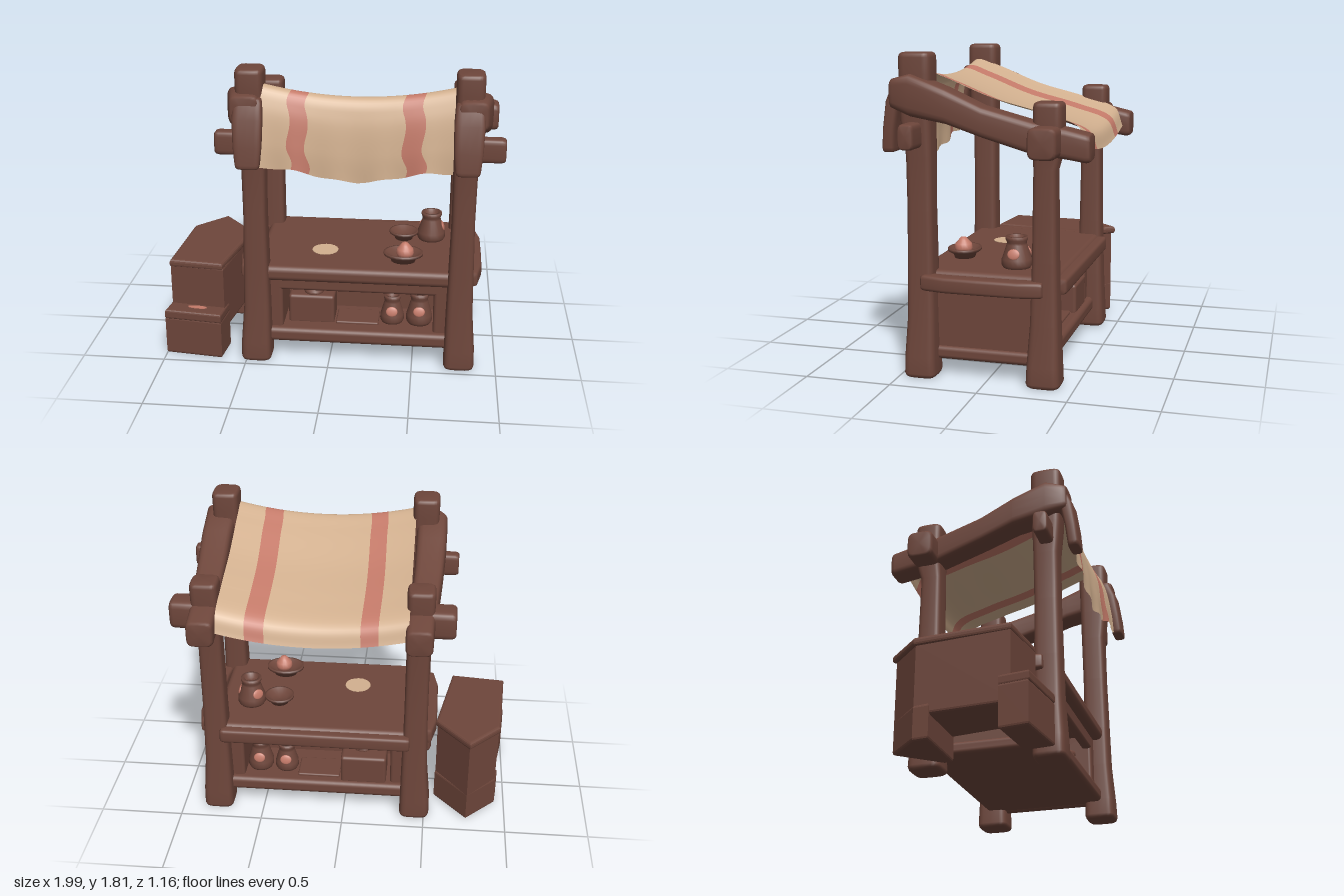
import * as THREE from 'three';
import { RoundedBoxGeometry } from 'three/addons/geometries/RoundedBoxGeometry.js';

const wood = new THREE.MeshStandardMaterial({ color: 0x6e463b });
const cloth = new THREE.MeshStandardMaterial({ color: 0xd2b08f, side: THREE.DoubleSide });
const rose = new THREE.MeshStandardMaterial({ color: 0xc47a69, side: THREE.DoubleSide });
wood.name = 'brown wood'; cloth.name = 'tan cloth'; rose.name = 'dusty rose';

// Soft square beam lofted through sections [t, p, q, halfP, halfQ]; axis is the direction of t.
const axes = {
  x: (t, p, q) => [t, p, q],
  y: (t, p, q) => [q, t, p],
  z: (t, p, q) => [p, q, t],
};
function beamGeometry(axis, sections, sides = 24) {
  const place = axes[axis], pos = [], idx = [];
  const first = sections[0], last = sections[sections.length - 1];
  const end = (s, dt, k) => [s[0] + dt, s[1], s[2], s[3] * k, s[4] * k];
  const rings = [end(first, 0, 0.001), end(first, 0, 0.82), end(first, 0.008, 0.94), end(first, 0.025, 1),
    ...sections.slice(1, -1), end(last, -0.025, 1), end(last, -0.008, 0.94), end(last, 0, 0.82), end(last, 0, 0.001)];
  const soft = (v) => Math.sign(v) * Math.pow(Math.abs(v), 0.45);
  for (const [t, p, q, a, b] of rings) {
    for (let j = 0; j < sides; j++) {
      const ang = (j / sides) * Math.PI * 2;
      pos.push(...place(t, p + a * soft(Math.cos(ang)), q + b * soft(Math.sin(ang))));
    }
  }
  for (let i = 0; i < rings.length - 1; i++) {
    for (let j = 0; j < sides; j++) {
      const k = (j + 1) % sides, a = i * sides, b = a + sides;
      idx.push(a + j, a + k, b + k, a + j, b + k, b + j);
    }
  }
  const g = new THREE.BufferGeometry();
  g.setAttribute('position', new THREE.Float32BufferAttribute(pos, 3));
  g.setIndex(idx);
  g.computeVertexNormals();
  return g;
}

// Canopy profile from back edge, over the top, down the front flap
const profile = new THREE.CatmullRomCurve3([
  [-0.535, 1.32], [-0.49, 1.42], [-0.28, 1.495], [0, 1.57], [0.28, 1.68], [0.42, 1.72],
  [0.48, 1.62], [0.52, 1.42], [0.535, 1.27],
].map(([z, y]) => new THREE.Vector3(0, y, z)));

function clothStrip(x0, x1, wobble0, wobble1) {
  const nu = 14, nv = 60, pos = [], idx = [];
  for (let i = 0; i <= nv; i++) {
    const v = i / nv, c = profile.getPoint(v);
    const wave = 0.017 * Math.sin(v * 34) * Math.max(0, v - 0.45) * 2 + 0.004 * Math.sin(v * 15);
    for (let j = 0; j <= nu; j++) {
      const u = j / nu;
      const x = x0 + (x1 - x0) * u + wave * (wobble0 * (1 - u) + wobble1 * u);
      const s = (x - 0.16) / 0.54, mid = 1 - s * s;
      const flap = Math.max(0, (v - 0.7) / 0.3);
      const sag = 0.065 * mid * (1 - flap) + 0.075 * mid ** 3 * flap;
      const ripple = flap * flap * 0.008 * Math.sin(x * 26);
      pos.push(x, c.y - sag + ripple, c.z - 0.025 * mid * flap + ripple);
    }
  }
  for (let i = 0; i < nv; i++) {
    for (let j = 0; j < nu; j++) {
      const a = i * (nu + 1) + j, b = a + nu + 1;
      idx.push(a, b, b + 1, a, b + 1, a + 1);
    }
  }
  const g = new THREE.BufferGeometry();
  g.setAttribute('position', new THREE.Float32BufferAttribute(pos, 3));
  g.setIndex(idx);
  g.computeVertexNormals();
  return g;
}

export function createModel() {
  const model = new THREE.Group();
  model.name = 'marketStall';
  const add = (name, geo, mat = wood, x = 0, y = 0, z = 0, parent = model) => {
    const m = new THREE.Mesh(geo, mat);
    m.name = name;
    m.position.set(x, y, z);
    parent.add(m);
    return m;
  };
  // Rounded box given by its limits
  const block = (name, x0, x1, y0, y1, z0, z1, r = 0.02) =>
    add(name, new RoundedBoxGeometry(x1 - x0, y1 - y0, z1 - z0, 3, r), wood, (x0 + x1) / 2, (y0 + y1) / 2, (z0 + z1) / 2);

  // Frame, one side at a time
  for (const [side, x, out] of [['right', -0.44, -1], ['left', 0.78, 1]]) {
    const inner = x - out * 0.008;
    add(side + 'FrontPost', beamGeometry('y', [
      [0, 0.38, x, 0.093, 0.092], [0.12, 0.38, x, 0.09, 0.09], [0.35, 0.375, inner, 0.08, 0.079], [0.6, 0.375, inner, 0.077, 0.074],
      [0.95, 0.375, inner, 0.073, 0.067], [1.25, 0.375, inner, 0.075, 0.07], [1.45, 0.385, x, 0.088, 0.078],
      [1.7, 0.387, x, 0.093, 0.079], [1.81, 0.387, x, 0.093, 0.08]]));
    add(side + 'BackPost', beamGeometry('y', [
      [0, -0.327, x, 0.097, 0.092], [0.12, -0.327, x, 0.093, 0.09], [0.35, -0.33, inner, 0.08, 0.078], [0.7, -0.33, inner, 0.07, 0.07],
      [1.2, -0.33, inner, 0.063, 0.068], [1.3, -0.345, x, 0.078, 0.078], [1.45, -0.348, x, 0.08, 0.079], [1.56, -0.348, x, 0.08, 0.08]]));
    add(side + 'RoofRail', beamGeometry('z', [
      [-0.58, x, 1.325, 0.078, 0.078], [-0.45, x, 1.345, 0.08, 0.082], [-0.28, x + out * 0.015, 1.37, 0.08, 0.088],
      [0, x + out * 0.03, 1.45, 0.085, 0.083], [0.2, x + out * 0.037, 1.53, 0.09, 0.095],
      [0.4, x + out * 0.037, 1.585, 0.093, 0.115], [0.52, x + out * 0.02, 1.59, 0.085, 0.085]]));
    add(side + 'HangingBoard', beamGeometry('y', [
      [1.27, 0.545, x, 0.035, 0.07], [1.4, 0.535, x, 0.036, 0.08], [1.55, 0.51, x, 0.04, 0.085], [1.66, 0.475, x, 0.04, 0.08]]));
    // Cross beam ends
    const stub = (name, length, y, z, hy, hz) => {
      const ends = [x, x + out * length].sort((a, b) => a - b);
      const mid = (ends[0] + ends[1]) / 2;
      add(name, beamGeometry('x', [ends[0], mid, ends[1]].map((t) => [t, y, z, hy, hz])));
    };
    stub(side + 'BackBeamEnd', 0.2, 1.357, -0.35, 0.085, 0.08);
    stub(side + 'FrontBeamEnd', 0.21, 1.37, 0.388, 0.07, 0.044);
    // Rounded bar along the counter's side, bowed outward
    add(side + 'CounterSideBar', beamGeometry('z', [
      [-0.33, x + out * 0.05, 0.553, 0.045, 0.045], [-0.2, x + out * 0.068, 0.553, 0.05, 0.045], [0.03, x + out * 0.07, 0.553, 0.05, 0.045],
      [0.22, x + out * 0.068, 0.553, 0.05, 0.045], [0.36, x + out * 0.05, 0.553, 0.045, 0.045]]));
  }

  // Canopy with two stripes
  const edges = [-0.38, -0.215, -0.115, 0.425, 0.535, 0.7];
  for (let i = 0; i < 5; i++) {
    add(i % 2 ? 'canopyStripe' : 'canopyCloth',
      clothStrip(edges[i], edges[i + 1], i === 0 ? 0 : 1, i === 4 ? 0 : 1), i % 2 ? rose : cloth);
  }

  // Counter and the open cabinet below, divided front from back
  block('counterTop', -0.45, 0.79, 0.515, 0.61, -0.39, 0.42, 0.035);
  add('counterBackBar', beamGeometry('x', [-0.4, 0.17, 0.74].map((t) => [t, 0.55, -0.39, 0.045, 0.048])));
  block('cabinetFloor', -0.42, 0.76, 0.105, 0.195, -0.36, 0.4, 0.03);
  block('cabinetDivider', -0.4, 0.74, 0.15, 0.56, -0.02, 0.06);
  block('rightSidePanel', -0.43, -0.285, 0.12, 0.56, -0.32, 0.36);
  block('leftSidePanel', 0.62, 0.76, 0.12, 0.56, -0.32, 0.36);
  for (const z of [-0.32, 0.3]) block('cabinetTopRail', -0.4, 0.74, 0.435, 0.56, z, z + 0.06);
  for (const x of [-0.44, 0.72]) block('sideLowerRail', x, x + 0.06, 0.095, 0.17, -0.3, 0.34, 0.025);

  // Pottery
  const jug = (name, x, y, z, r, h, patchAngles) => {
    const g = new THREE.Group();
    g.name = name;
    g.position.set(x, y, z);
    model.add(g);
    const pts = [[0, 0], [0.85, 0], [1, 0.12], [0.98, 0.3], [0.66, 0.75], [0.64, 0.82], [0.72, 0.9], [0.72, 1], [0.5, 1], [0.42, 0.85], [0, 0.85]];
    add('jugBody', new THREE.LatheGeometry(pts.map(([a, b]) => new THREE.Vector2(a * r, b * h)), 20), wood, 0, 0, 0, g);
    for (const a of patchAngles) {
      const p = add('jugPatch', new THREE.SphereGeometry(0.036, 14, 10), rose, Math.sin(a) * r * 0.82, h * 0.5, Math.cos(a) * r * 0.82, g);
      p.scale.set(1, 0.85, 0.25);
      p.rotation.set(-0.28, a, 0, 'YXZ');
    }
  };
  const dish = (name, x, z, r, h) => add(name, new THREE.LatheGeometry(
    [[0, 0], [0.6, 0], [0.68, 0.4], [1, 0.75], [1, 1], [0.88, 1], [0.5, 0.5], [0, 0.45]].map(([a, b]) => new THREE.Vector2(a * r, b * h)), 20),
  wood, x, 0.608, z);
  jug('counterJug', 0.59, 0.605, -0.115, 0.087, 0.182, [Math.PI / 2, -2.4]);
  dish('plate', 0.43, 0.245, 0.118, 0.06).scale.z = 0.82;
  dish('bowl', 0.42, -0.1, 0.09, 0.055);
  // Rounded fruit with a blunt tip
  add('fruit', new THREE.LatheGeometry([[0, 0], [0.045, 0], [0.053, 0.025], [0.048, 0.05], [0.028, 0.072], [0.018, 0.085], [0, 0.09]]
    .map(([r, y]) => new THREE.Vector2(r, y)), 18), rose, 0.44, 0.642, 0.25);
  add('counterMat', new THREE.CylinderGeometry(0.08, 0.08, 0.006, 18), cloth, -0.05, 0.61, 0.13);

  // Goods on the front and back shelves
  for (const [z, a] of [[0.22, 0], [-0.2, Math.PI]]) {
    jug('shelfJugSmall', 0.37, 0.19, z, 0.073, 0.18, [a]);
    jug('shelfJugLarge', 0.535, 0.19, z, 0.08, 0.2, [a]);
    block('shelfBox', -0.26, 0.02, 0.18, 0.37, z - 0.13, z + 0.07);
    add('shelfBundle', new THREE.SphereGeometry(0.06, 14, 10), wood, -0.11, 0.375, z).scale.y = 0.55;
    block('shelfTray', 0.03, 0.29, 0.18, 0.21, z - 0.1, z + 0.08, 0.01);
  }

  // Stepped chest beside the stall, raised between its back foot and front step
  const plan = (name, pts, y0, y1, bevel = 0.018) => {
    const g = new THREE.ExtrudeGeometry(new THREE.Shape(pts.map(([x, z]) => new THREE.Vector2(x, -z))), {
      depth: y1 - y0 - 2 * bevel, bevelThickness: bevel, bevelSize: bevel, bevelOffset: -bevel, bevelSegments: 3 });
    g.rotateX(-Math.PI / 2);
    add(name, g, wood, 0, y0 + bevel, 0);
  };
  plan('chestBody', [[-0.975, 0.315], [-0.645, 0.355], [-0.565, -0.175], [-0.76, -0.4], [-0.935, -0.22]], 0.14, 0.56);
  plan('chestLid', [[-0.98, 0.32], [-0.65, 0.355], [-0.555, -0.185], [-0.76, -0.425], [-0.945, -0.23]], 0.535, 0.585);
  plan('chestFoot', [[-0.95, -0.13], [-0.57, -0.13], [-0.56, -0.18], [-0.76, -0.4], [-0.94, -0.22]], 0, 0.2);
  plan('chestStep', [[-1, 0.415], [-0.65, 0.455], [-0.63, 0.28], [-0.975, 0.25]], 0, 0.25);
  plan('chestStepLid', [[-1, 0.42], [-0.65, 0.458], [-0.63, 0.28], [-0.975, 0.25]], 0.235, 0.295, 0.014);
  const patch = add('chestPatch', new THREE.CylinderGeometry(0.06, 0.06, 0.006, 16), rose, -0.81, 0.296, 0.367);
  patch.scale.z = 0.28;
  patch.rotation.y = -0.1;
  return model;
}
